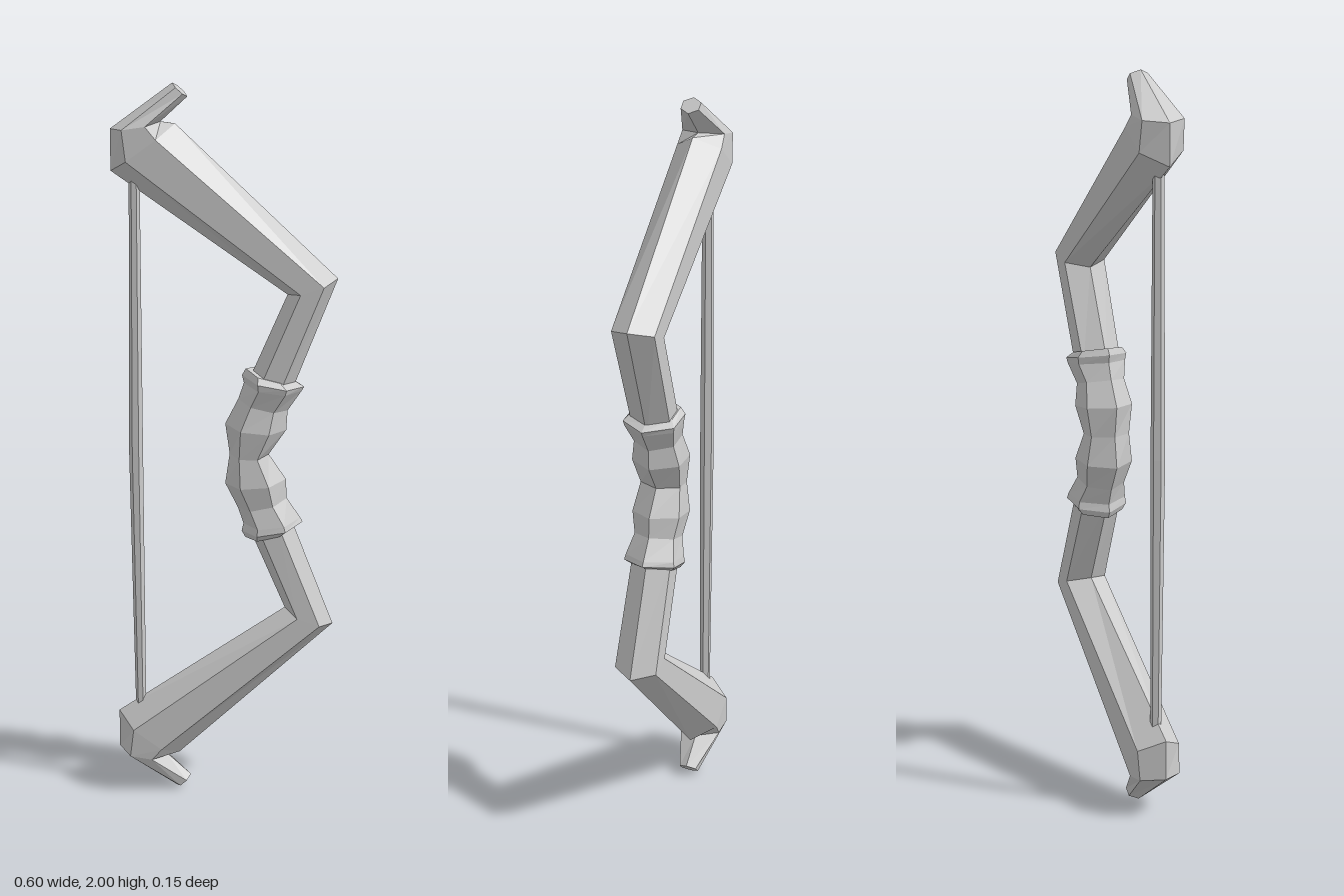
import * as THREE from 'three';

// Lofts hexagonal sections [innerX, innerY, outerX, outerY, halfDepth], ordered bottom to top
function hexLoft(name, sections) {
  const rings = sections.map(([ix, iy, ox, oy, d]) => {
    const at = (t, z) => [ix + (ox - ix) * t, iy + (oy - iy) * t, z];
    return [at(0, 0), at(0.27, d), at(0.73, d), at(1, 0), at(0.73, -d), at(0.27, -d)];
  });
  const pos = [];
  const tri = (a, b, c) => pos.push(...a, ...b, ...c);
  for (let s = 0; s < rings.length - 1; s++) {
    const a = rings[s], b = rings[s + 1];
    for (let i = 0; i < 6; i++) {
      const j = (i + 1) % 6;
      tri(a[i], a[j], b[j]);
      tri(a[i], b[j], b[i]);
    }
  }
  // End caps
  const lo = rings[0], hi = rings[rings.length - 1];
  for (let i = 1; i < 5; i++) {
    tri(hi[0], hi[i], hi[i + 1]);
    tri(lo[0], lo[i + 1], lo[i]);
  }
  const geo = new THREE.BufferGeometry();
  geo.setAttribute('position', new THREE.Float32BufferAttribute(pos, 3));
  geo.computeVertexNormals();
  const mesh = new THREE.Mesh(geo, new THREE.MeshStandardMaterial({ color: 0xcccccc, flatShading: true }));
  mesh.name = name;
  return mesh;
}

// Mirrors sections about y = 1 and keeps them ordered bottom to top
const mirrorY = (sections) =>
  sections.map(([ix, iy, ox, oy, d]) => [ix, 2 - iy, ox, 2 - oy, d]).reverse();

export function createModel() {
  const bow = new THREE.Group();
  bow.name = 'bow';

  // Limb: riser end, elbow, nock block and hooked tip
  const limb = [
    [0.06, 1.2, 0.175, 1.17, 0.056],
    [0.165, 1.445, 0.298, 1.49, 0.06],
    [-0.3, 1.77, -0.13, 1.895, 0.063],
    [-0.3, 1.88, -0.168, 1.9, 0.06],
    [-0.137, 2.0, -0.098, 1.965, 0.025],
  ];
  bow.add(hexLoft('upperLimb', limb), hexLoft('lowerLimb', mirrorY(limb)));

  // Grip: wavy handle with a collar at each end
  const halfGrip = [
    [0.0, 1.085, 0.165, 1.07, 0.068],
    [0.035, 1.155, 0.168, 1.125, 0.057],
    [0.05, 1.2, 0.205, 1.18, 0.07],
    [0.045, 1.222, 0.212, 1.192, 0.073],
    [0.055, 1.24, 0.185, 1.208, 0.06],
  ];
  const middle = [0.012, 1.0, 0.118, 1.0, 0.057];
  bow.add(hexLoft('grip', [...mirrorY(halfGrip), middle, ...halfGrip]));

  // String: slightly thicker at the middle, ends buried in the limbs
  bow.add(hexLoft('string', [
    [-0.252, 0.2, -0.224, 0.2, 0.013],
    [-0.262, 1.0, -0.224, 1.0, 0.017],
    [-0.252, 1.8, -0.224, 1.8, 0.013],
  ]));

  return bow;
}
